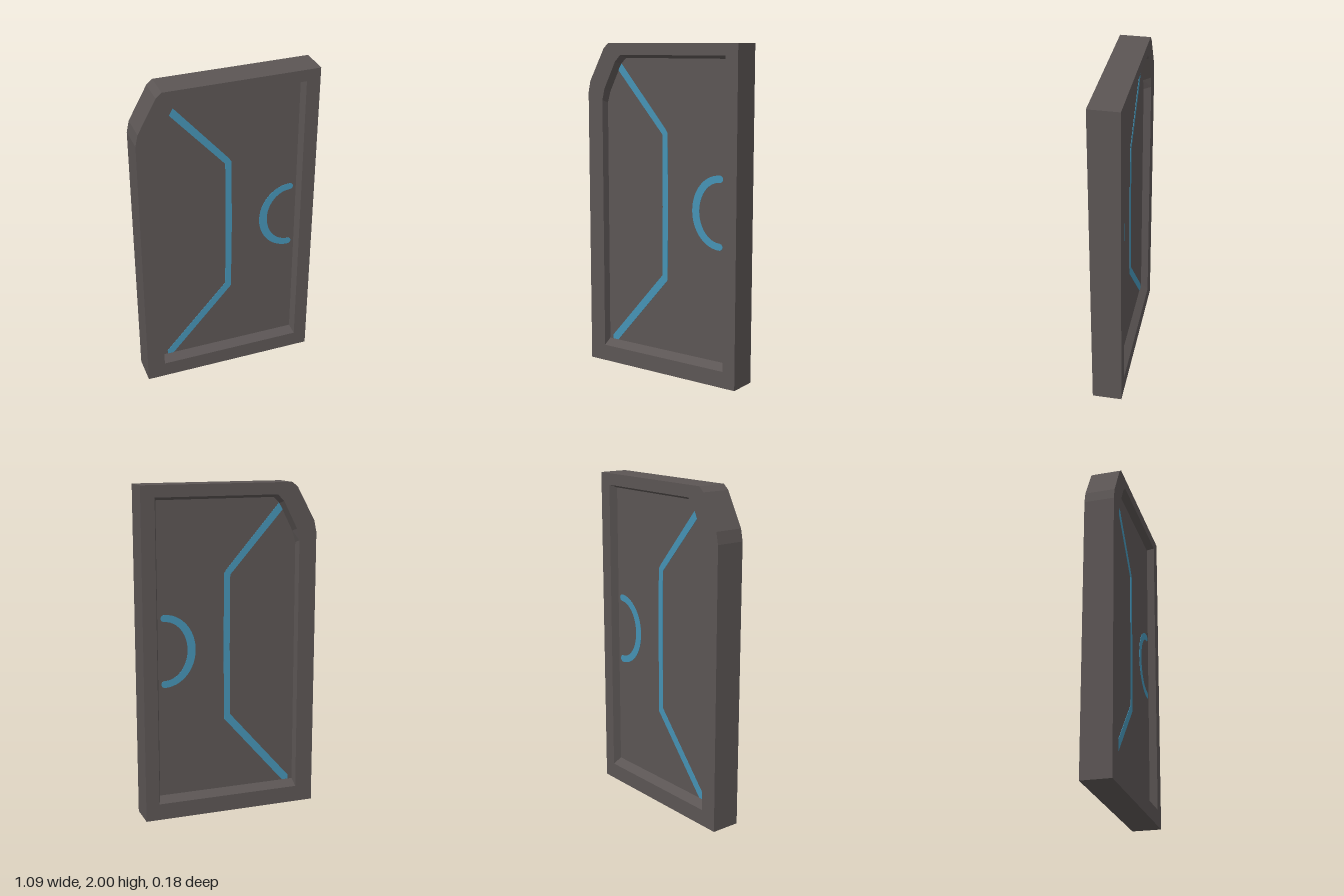
import * as THREE from 'three';

const FRONT = 0.09;   // half thickness of the frame
const RECESS = 0.045; // half thickness of the sunken panel

// Matching outlines, counter-clockwise from the lower left
const OUTER = [[-0.545, 0], [0.54, 0], [0.54, 2], [-0.385, 2], [-0.42, 1.97], [-0.53, 1.77], [-0.545, 1.7]];
const LIP = [[-0.435, 0.1], [0.457, 0.1], [0.457, 1.93], [-0.292, 1.93], [-0.333, 1.89], [-0.418, 1.725], [-0.435, 1.655]];
const PANEL = [[-0.428, 0.138], [0.44, 0.138], [0.44, 1.912], [-0.283, 1.912], [-0.322, 1.875], [-0.407, 1.71], [-0.428, 1.64]];

const toShape = (pts) => new THREE.Shape(pts.map(([x, y]) => new THREE.Vector2(x, y)));

// Flat plate cut from a shape, centred on z
function plate(shape, halfDepth, material, name, z = 0) {
  const geo = new THREE.ExtrudeGeometry(shape, { depth: halfDepth * 2, bevelEnabled: false });
  geo.translate(0, 0, z - halfDepth);
  const mesh = new THREE.Mesh(geo, material);
  mesh.name = name;
  return mesh;
}

// Skin through successive outlines, each at its own z
function skin(rings) {
  const pos = [];
  for (let r = 0; r < rings.length - 1; r++) {
    const [a, za] = rings[r];
    const [b, zb] = rings[r + 1];
    for (let i = 0; i < a.length; i++) {
      const j = (i + 1) % a.length;
      const p = [...a[i], za], q = [...a[j], za], s = [...b[j], zb], t = [...b[i], zb];
      pos.push(...p, ...q, ...s, ...p, ...s, ...t);
    }
  }
  const geo = new THREE.BufferGeometry();
  geo.setAttribute('position', new THREE.Float32BufferAttribute(pos, 3));
  geo.computeVertexNormals();
  return geo;
}

// Half-ring with rounded ends, open towards +x
function handleShape() {
  const cx = 0.4, cy = 1.03, rOut = [0.193, 0.22], rIn = [0.143, 0.178], n = 24;
  const arc = (r, i) => {
    const a = Math.PI / 2 + (Math.PI * i) / n;
    return [cx + r[0] * Math.cos(a), cy + r[1] * Math.sin(a)];
  };
  const cap = (y, dir) => [-60, -30, 0, 30, 60].map((d) => {
    const a = THREE.MathUtils.degToRad(d * dir);
    return [cx + 0.021 * Math.cos(a), y + 0.021 * Math.sin(a)];
  });
  const pts = [];
  for (let i = 0; i <= n; i++) pts.push(arc(rOut, i));
  pts.push(...cap(cy - 0.199, 1));
  for (let i = n; i >= 0; i--) pts.push(arc(rIn, i));
  pts.push(...cap(cy + 0.199, 1));
  return toShape(pts);
}

export function createModel() {
  const casing = new THREE.MeshStandardMaterial({ color: 0x5b5554 });
  casing.name = 'dark grey';
  const glow = new THREE.MeshStandardMaterial({ color: 0x4592b4 });
  glow.name = 'blue';

  const door = new THREE.Group();
  door.name = 'door';

  // Frame with sloped inner edges on both faces
  const frame = new THREE.Mesh(skin([
    [PANEL, -RECESS], [LIP, -FRONT], [OUTER, -FRONT],
    [OUTER, FRONT], [LIP, FRONT], [PANEL, RECESS],
  ]), casing);
  frame.name = 'frame';
  door.add(frame);

  // Sunken panel
  door.add(plate(toShape(PANEL), RECESS, casing, 'panel'));

  // Bent stripe across the panel, ending at its edges
  const stripe = toShape([
    [-0.4, 0.139], [-0.36, 0.139], [0.027, 0.58], [0.031, 1.03], [0.027, 1.475], [0.01, 1.5],
    [-0.318, 1.878], [-0.342, 1.838], [-0.011, 1.465], [-0.008, 1.03], [-0.011, 0.607], [-0.4, 0.165],
  ]);
  const handle = handleShape();

  // Inlays on both faces
  for (const [side, label] of [[1, 'front'], [-1, 'back']]) {
    door.add(plate(stripe, 0.002, glow, label + 'Stripe', side * RECESS));
    door.add(plate(handle, 0.002, glow, label + 'HandleArc', side * RECESS));
  }
  return door;
}
